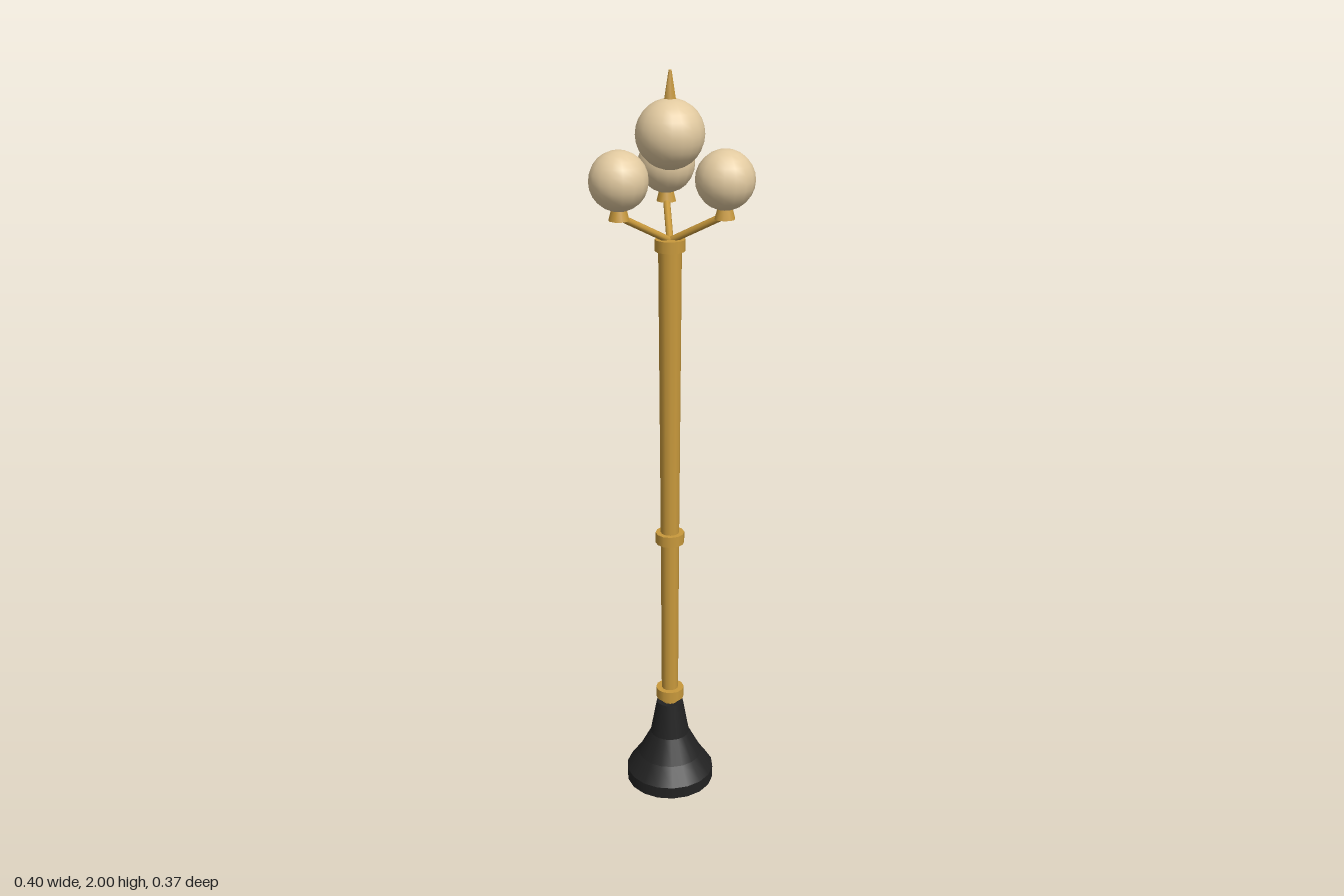
import * as THREE from 'three';

export function createModel() {
  const lamp = new THREE.Group();
  lamp.name = 'streetLamp';
  const mat = (name, color) => {
    const m = new THREE.MeshStandardMaterial({ color });
    m.name = name;
    return m;
  };
  const brass = mat('brass', 0xc8993c);
  const iron = mat('blackIron', 0x222222);
  const glass = mat('warmGlass', 0xe2caa0);

  const add = (parent, name, geometry, material, x = 0, y = 0, z = 0) => {
    const mesh = new THREE.Mesh(geometry, material);
    mesh.name = name;
    mesh.position.set(x, y, z);
    parent.add(mesh);
    return mesh;
  };
  // Upright tapered cylinder given by its bottom and top heights
  const column = (parent, name, y0, y1, r0, r1, sides, material, x = 0, z = 0) =>
    add(parent, name, new THREE.CylinderGeometry(r1, r0, y1 - y0, sides), material, x, (y0 + y1) / 2, z);

  // Flared base: stacked tapering rings with a flat foot
  const profile = [[0, 0], [0.124, 0], [0.124, 0.034], [0.09, 0.083], [0.055, 0.15], [0.037, 0.25], [0, 0.25]];
  const parts = [];
  for (let i = 0; i < profile.length - 1; i++) parts.push([profile[i], profile[i + 1]]);
  const base = new THREE.Group();
  base.name = 'base';
  parts.forEach((pair) => {
    const pts = pair.map(([r, y]) => new THREE.Vector2(r, y));
    add(base, 'baseRing', new THREE.LatheGeometry(pts, 18), iron);
  });
  lamp.add(base);

  // Pole in two lengths, slightly wider towards the top
  column(lamp, 'lowerPole', 0.24, 0.765, 0.023, 0.025, 12, brass);
  column(lamp, 'upperPole', 0.765, 1.575, 0.025, 0.03, 12, brass);
  for (const y of [0.28, 0.765, 1.574]) {
    column(lamp, 'collar', y - 0.015, y + 0.015, 0.039, 0.039, 12, brass);
  }

  // Three arms, each carrying a cup and a globe
  const reach = 0.149;
  for (let i = 0; i < 3; i++) {
    const branch = new THREE.Group();
    branch.name = 'branch';
    const start = new THREE.Vector3(0, 1.585, 0);
    const end = new THREE.Vector3(0, 1.663, -reach);
    const dir = end.clone().sub(start);
    const arm = add(branch, 'arm', new THREE.CylinderGeometry(0.009, 0.009, dir.length(), 8), brass);
    arm.position.copy(start).add(end).multiplyScalar(0.5);
    arm.quaternion.setFromUnitVectors(new THREE.Vector3(0, 1, 0), dir.normalize());
    column(branch, 'cup', 1.654, 1.685, 0.026, 0.018, 10, brass, 0, -reach);
    add(branch, 'sideGlobe', new THREE.SphereGeometry(0.074, 16, 12), glass, 0, 1.75, -reach);
    branch.rotation.y = (i * Math.PI * 2) / 3;
    lamp.add(branch);
  }

  // Raised middle globe with its spike
  add(lamp, 'middleGlobe', new THREE.SphereGeometry(0.086, 20, 14), glass, 0, 1.848, 0);
  column(lamp, 'spike', 1.925, 2, 0.017, 0.004, 6, brass);

  // The pole stands a little forward of the overall centre
  lamp.children.forEach((c) => { c.position.z += 0.036; });
  return lamp;
}
